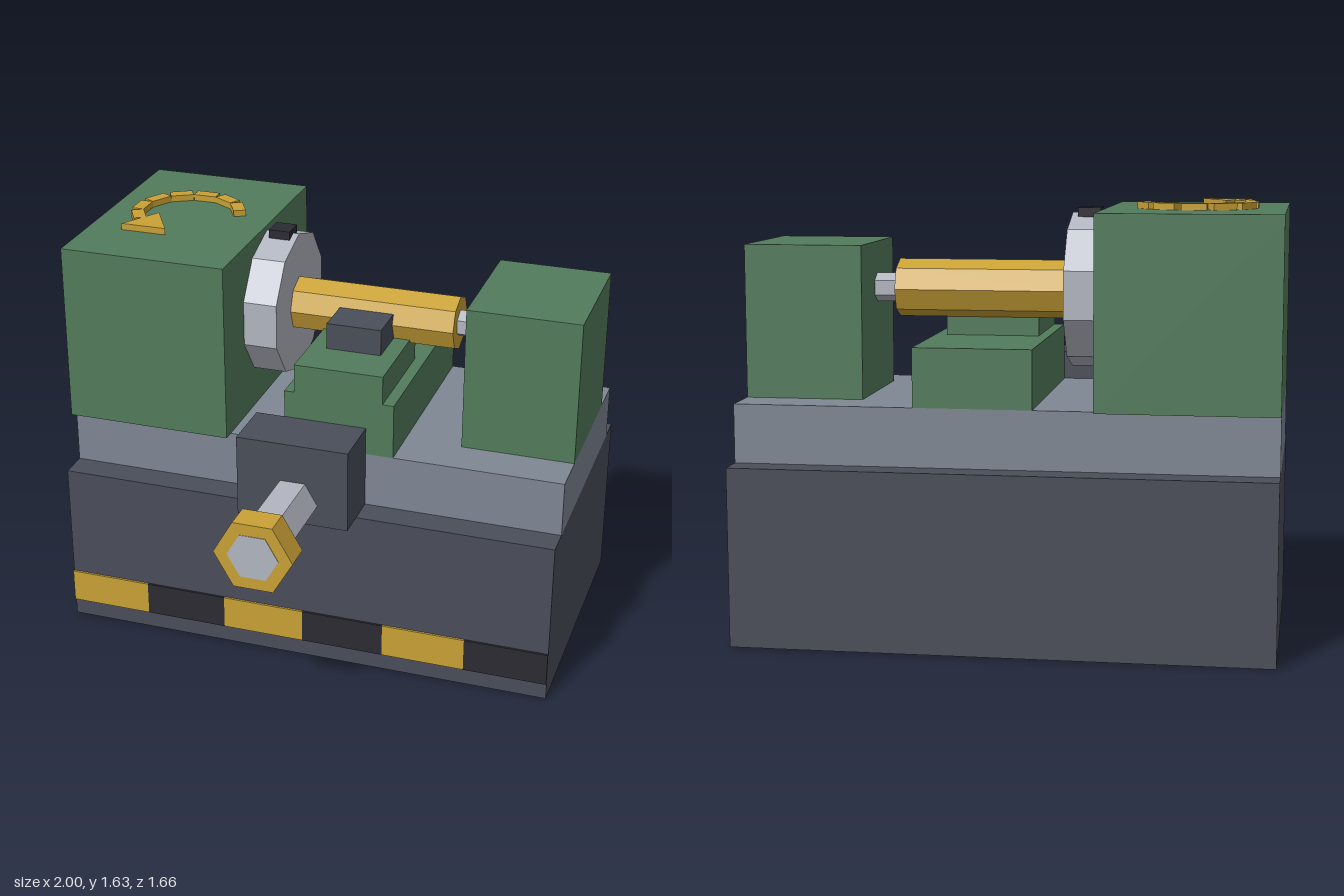
import * as THREE from 'three';

const material = (name, color) => {
  const m = new THREE.MeshStandardMaterial({ color });
  m.name = name;
  return m;
};

export function createModel() {
  const lathe = new THREE.Group();
  lathe.name = 'lathe';

  const castIron = material('dark cast iron', 0x4a4e59);
  const bedGrey = material('bed grey', 0x7f8794);
  const green = material('machine green', 0x527c5b);
  const yellow = material('yellow', 0xc9a136);
  const steel = material('bright steel', 0xb2b6c0);
  const black = material('black', 0x2b2b32);

  const add = (name, geometry, mat, parent = lathe) => {
    const mesh = new THREE.Mesh(geometry, mat);
    mesh.name = name;
    parent.add(mesh);
    return mesh;
  };

  // Box given by its limits on each axis
  const box = (name, mat, [x0, x1], [y0, y1], [z0, z1], parent) => {
    const g = new THREE.BoxGeometry(x1 - x0, y1 - y0, z1 - z0);
    g.translate((x0 + x1) / 2, (y0 + y1) / 2, (z0 + z1) / 2);
    return add(name, g, mat, parent);
  };

  // Faceted prism along y, with its first corner at angle start
  const prism = (radius, length, sides, start = Math.PI / 2) => {
    const g = new THREE.CylinderGeometry(radius, radius, length, sides, 1, false, start).toNonIndexed();
    g.computeVertexNormals();
    return g;
  };

  // Base and bed
  box('base', castIron, [-1, 1], [0, 0.67], [-0.83, 0.28]);
  box('bed', bedGrey, [-1, 1], [0.67, 0.89], [-0.72, 0.165]);

  // Hazard stripe along the front of the base
  const stripe = new THREE.Group();
  stripe.name = 'hazardStripe';
  lathe.add(stripe);
  for (let i = 0; i < 6; i++) {
    const x = -1 + i / 3;
    box('stripeBlock', i % 2 ? black : yellow, [x, x + 1 / 3], [0.07, 0.205], [0.28, 0.289], stripe);
  }

  // Headstock and tailstock
  box('headstock', green, [-1, -0.335], [0.89, 1.6], [-0.765, 0.21]);
  box('tailstock', green, [0.555, 1], [0.89, 1.465], [-0.545, -0.01]);

  // Chuck, workpiece and quill share the spindle axis
  const spindleY = 1.29, spindleZ = -0.28;
  const turned = (name, mat, radius, sides, x0, x1) => {
    const g = prism(radius, x1 - x0, sides);
    g.rotateZ(Math.PI / 2).translate((x0 + x1) / 2, spindleY, spindleZ);
    return add(name, g, mat);
  };
  turned('chuck', steel, 0.29, 10, -0.335, -0.2);
  turned('workpiece', yellow, 0.11, 8, -0.2, 0.465);
  turned('tailstockQuill', steel, 0.055, 6, 0.465, 0.56);
  box('chuckMarker', black, [-0.31, -0.225], [1.54, 1.6], [-0.325, -0.235]);

  // Carriage: cross slide, top slide, tool post and apron
  box('crossSlide', green, [-0.11, 0.33], [0.89, 1.11], [-0.72, 0.165]);
  box('topSlide', green, [-0.07, 0.285], [1.11, 1.225], [-0.28, 0.165]);
  box('toolPost', castIron, [0, 0.22], [1.225, 1.33], [-0.24, -0.02]);
  box('apron', castIron, [-0.225, 0.22], [0.67, 1.0], [0.165, 0.39]);

  // Feed handle
  const handle = (name, mat, radius, z0, z1) => {
    const g = prism(radius, z1 - z0, 6);
    g.rotateX(Math.PI / 2).translate(0, 0.757, (z0 + z1) / 2);
    return add(name, g, mat);
  };
  handle('handleShaft', steel, 0.1, 0.38, 0.831);
  handle('handleKnob', yellow, 0.154, 0.72, 0.829);

  // Curved rotation arrow on top of the headstock
  const arrow = new THREE.Group();
  arrow.name = 'rotationArrow';
  arrow.position.set(-0.668, 1.6125, -0.28);
  lathe.add(arrow);
  const arcRadius = 0.2;
  const place = (mesh, a) => mesh.position.set(arcRadius * Math.cos(a), 0, -arcRadius * Math.sin(a));
  for (let i = 1; i <= 7; i++) {
    const a = i * Math.PI / 6;
    const segment = add('arrowSegment', new THREE.BoxGeometry(0.05, 0.025, 0.093), yellow, arrow);
    place(segment, a);
    segment.rotation.y = a;
  }
  place(add('arrowHead', prism(0.107, 0.027, 3, Math.PI), yellow, arrow), Math.PI * 4 / 3);

  return lathe;
}
